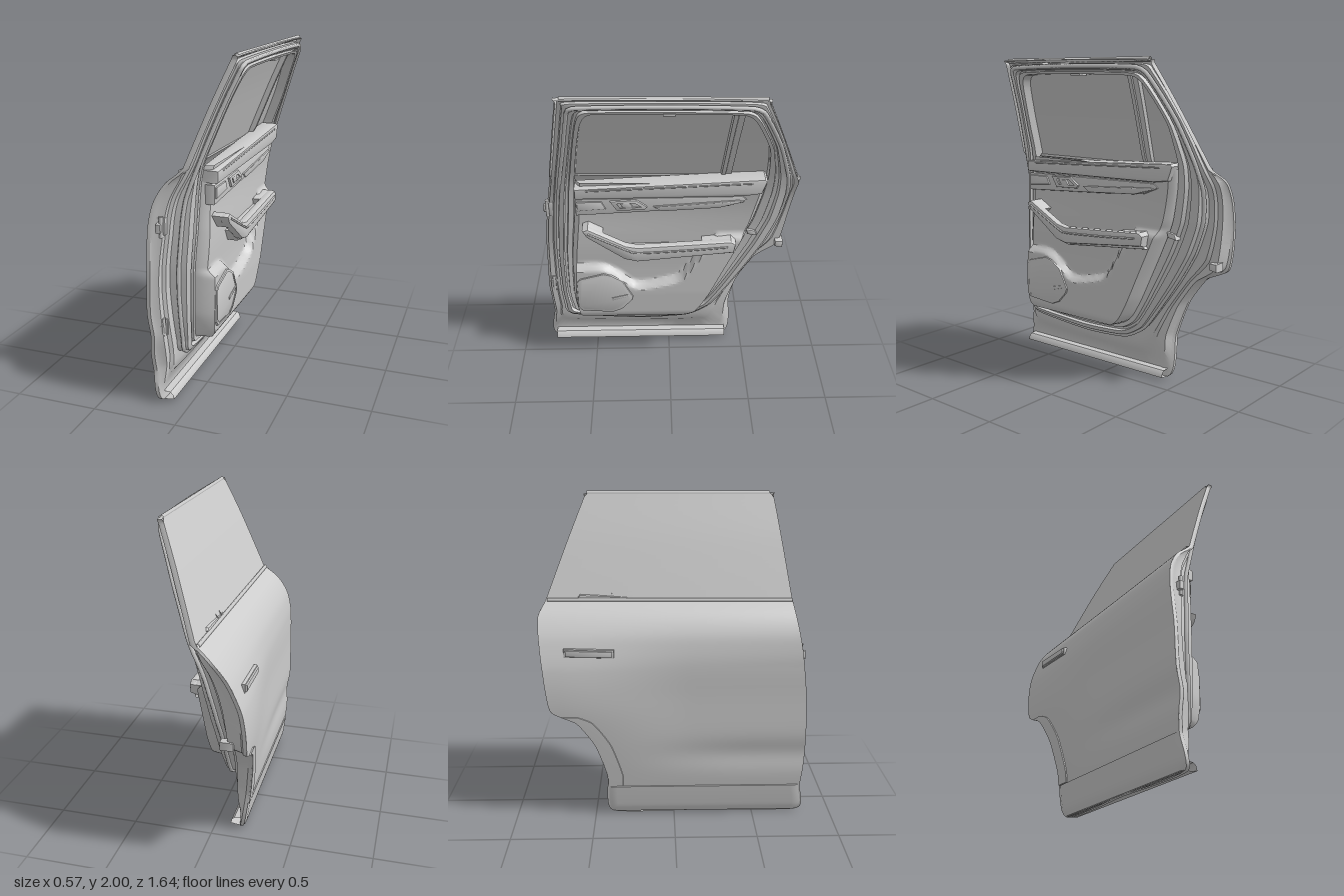
import * as THREE from 'three';
import { toCreasedNormals } from 'three/addons/utils/BufferGeometryUtils.js';

const MAT = new THREE.MeshStandardMaterial({ color: 0xcccccc, side: THREE.DoubleSide });
const { lerp, clamp, smoothstep } = THREE.MathUtils;
const step = (a, b, v) => (a < b ? smoothstep(v, a, b) : 1 - smoothstep(v, b, a));
const bell = (v, c, w) => Math.exp(-(((v - c) / w) ** 2));

// Smooth (or linear) lookup in a list of [y, value]
function table(pts, smooth = true) {
  const slope = (i) => {
    const a = pts[Math.max(i - 1, 0)], b = pts[Math.min(i + 1, pts.length - 1)];
    return smooth ? (b[1] - a[1]) / (b[0] - a[0]) : 0;
  };
  return (y) => {
    y = clamp(y, pts[0][0], pts.at(-1)[0]);
    let i = 0;
    while (i < pts.length - 2 && y > pts[i + 1][0]) i++;
    const [y0, v0] = pts[i], [y1, v1] = pts[i + 1], h = y1 - y0, t = (y - y0) / h;
    if (!smooth) return lerp(v0, v1, t);
    const t2 = t * t, t3 = t2 * t;
    return v0 * (2 * t3 - 3 * t2 + 1) + v1 * (3 * t2 - 2 * t3) + slope(i) * h * (t3 - 2 * t2 + t) + slope(i + 1) * h * (t3 - t2);
  };
}

// Outline loops as [z, y]; entries with the same index correspond
const OUTER = [[.79, .01], [.8, .2], [.82, .42], [.81, .8], [.775, 1.1], [.735, 1.32], [.68, 1.65], [.625, 1.96], [.6, 1.985], [0, 1.99], [-.52, 1.98],
  [-.55, 1.95], [-.66, 1.68], [-.78, 1.37], [-.82, 1.28], [-.79, 1.0], [-.75, .74], [-.6, .66], [-.49, .5], [-.42, .28], [-.39, .01], [.2, .01]];
const SEAL = [[.66, .27], [.7, .36], [.715, .5], [.72, .8], [.7, 1.1], [.67, 1.32], [.61, 1.65], [.57, 1.88], [.52, 1.94], [0, 1.95], [-.45, 1.94],
  [-.53, 1.88], [-.64, 1.65], [-.715, 1.4], [-.73, 1.25], [-.7, 1.05], [-.62, .85], [-.5, .65], [-.37, .46], [-.27, .33], [-.12, .25], [.2, .23]];
const INNER = [[.57, .34], [.61, .38], [.63, .5], [.62, .8], [.59, 1.1], [.575, 1.32], [.53, 1.65], [.49, 1.83], [.42, 1.895], [0, 1.9], [-.4, 1.89],
  [-.48, 1.83], [-.575, 1.62], [-.59, 1.4], [-.57, 1.25], [-.52, 1.05], [-.44, .87], [-.36, .7], [-.28, .53], [-.2, .4], [-.1, .34], [.2, .33]];
const SUB = 8;
function loop(keys) {
  const c = new THREE.CatmullRomCurve3(keys.map(([z, y]) => new THREE.Vector3(0, y, z)), true, 'catmullrom', 0.3);
  const n = keys.length * SUB;
  return Array.from({ length: n }, (_, i) => c.getPoint(i / n));
}
const [outer, seal, inner] = [OUTER, SEAL, INNER].map(loop);
const edge = (pts, a, b) => table(pts.slice(a * SUB, b * SUB + 1).map((p) => [p.y, p.z]).sort((p, q) => p[0] - q[0]), false);
const frontZ = edge(outer, 0, 8), rearZ = edge(outer, 10, 20);
const trimFront = edge(inner, 0, 6), trimRear = edge(inner, 12, 20);

// Depth of the outer skin, flange, seal step and trim
const BELT = 1.37;
const lean = (z, y) => -0.025 * z * clamp((y - 1) / 0.35, 0, 1);
const panelX = table([[0, -.175], [.06, -.195], [.3, -.225], [.5, -.237], [.8, -.235], [1, -.235], [1.1, -.222], [1.2, -.192], [1.3, -.125], [BELT, -.035]]);
const glassX = table([[BELT, -.03], [1.55, .04], [1.75, .12], [1.99, .225]]);
const outX = (z, y) => lean(z, y) + (y > BELT ? glassX(y)
  : panelX(y) - 0.05 * step(.1, -.7, z) * bell(y, .8, .3) + 0.018 * bell(y, .42, .09) * step(-.35, .5, z));
const flange = table([[0, -.14], [.25, -.11], [.7, -.14], [1, -.12], [1.2, -.08], [BELT, .01], [1.55, .075], [1.75, .155], [1.99, .262]]);
const ledge = table([[.2, -.04], [.5, -.025], [.8, -.02], [1.1, 0], [BELT, .035], [1.55, .1], [1.75, .18], [1.99, .29]]);
const flangeX = (z, y) => flange(y) + lean(z, y), ledgeX = (z, y) => ledge(y) + lean(z, y);

// Grid of points joined into a smooth surface with kept creases
function surface(rows, closed = false) {
  const n = rows[0].length, idx = [];
  for (let r = 0; r < rows.length - 1; r++)
    for (let c = 0; c < (closed ? n : n - 1); c++) {
      const a = r * n + c, b = r * n + ((c + 1) % n);
      idx.push(a, b, a + n, b, b + n, a + n);
    }
  const g = new THREE.BufferGeometry();
  g.setAttribute('position', new THREE.Float32BufferAttribute(rows.flat(2), 3));
  g.setIndex(idx);
  g.computeVertexNormals();
  return toCreasedNormals(g, 0.6);
}
const span = (a, b, n) => Array.from({ length: n + 1 }, (_, i) => lerp(a, b, i / n));
// Sheet between two edges z0(y), z1(y) with depth x(z, y, t)
const sheet = (ys, ts, z0, z1, x) => surface(ys.map((y) => ts.map((t) => {
  const z = lerp(z0(y), z1(y), t);
  return [x(z, y, t), y, z];
})));

// Flat plate from a [z, y] outline, extruded from x0 to x1 with a soft rim
function plate(pts, x0, x1, bevel = 0.008, hole) {
  const v = (p) => p.map(([z, y]) => new THREE.Vector2(-z, y));
  const s = new THREE.Shape(v(pts));
  if (hole) s.holes.push(new THREE.Path(v(hole)));
  const g = new THREE.ExtrudeGeometry(s, { depth: x1 - x0 - bevel, bevelThickness: bevel, bevelSize: bevel, bevelOffset: -bevel, bevelSegments: 2 });
  return toCreasedNormals(g.rotateY(Math.PI / 2).translate(x0, 0, 0), 0.6);
}
const tube = (pts, r, closed = false) => new THREE.TubeGeometry(
  new THREE.CatmullRomCurve3(pts.map((p) => new THREE.Vector3(...p)), closed, 'catmullrom', 0.3), pts.length * 4, r, 6, closed);

export function createModel() {
  const door = new THREE.Group();
  door.name = 'carDoor';
  const add = (name, geo) => {
    const m = new THREE.Mesh(geo, MAT);
    m.name = name;
    door.add(m);
    return m;
  };
  const cols = span(0, 1, 40);

  // Outer skin, window and cladding
  add('outerPanel', sheet(span(.01, BELT, 70), cols, frontZ, rearZ, outX));
  add('windowGlass', sheet(span(BELT + .001, 1.985, 24), cols, frontZ, rearZ, outX));
  const proud = (lo, hi) => (z, y, t) => outX(z, y) - (t > 0 && t < 1 && y > lo && y < hi ? 0.007 : -0.004);
  add('sillCladding', sheet([.01, ...span(.012, .2, 12), .203], cols, frontZ, rearZ, proud(.011, .201)));
  add('archCladding', sheet([.203, ...span(.205, .70, 40), .703], [0, .03, .25, .5, .75, .97, 1],
    (y) => rearZ(y) + .1, rearZ, proud(.204, .701)));
  add('beltMoulding', tube(span(.725, -.77, 8).map((z) => [outX(z, BELT) - .002, BELT, z]), .012));
  add('topMoulding', tube(span(.6, -.53, 6).map((z) => [outX(z, 1.98) + .012, 1.982, z]), .014));

  // Exterior pull handle
  const hx = outX(-.5, 1.09);
  add('handleRecess', plate([[-.36, 1.065], [-.36, 1.115], [-.66, 1.125], [-.66, 1.07]], hx - .008, hx + .01, .004));
  add('outerHandle', plate([[-.37, 1.073], [-.37, 1.107], [-.65, 1.117], [-.65, 1.078]], hx - .018, hx, .005));

  // Door shell: nested rings from the skin edge in to the trim edge
  const ring = (a, b, t, x) => a.map((p, i) => {
    const z = lerp(p.z, b[i].z, t), y = lerp(p.y, b[i].y, t);
    return [x(z, y), y, z];
  });
  const mix = (k, d = 0) => (z, y) => lerp(flangeX(z, y), ledgeX(z, y), k) + d;
  add('doorShell', surface([
    ring(outer, seal, 0, outX),
    ring(outer, seal, 0, (z, y) => outX(z, y) + .022),
    ring(outer, seal, .1, (z, y) => outX(z, y) + .034),
    ring(outer, seal, .22, mix(0, -.03)),
    ring(outer, seal, .55, mix(0, -.025)),
    ring(outer, seal, .66, mix(0, -.005)),
    ring(outer, seal, .85, mix(0, 0)),
    ring(outer, seal, 1, mix(.05, 0)),
    ring(seal, inner, .12, mix(.85, 0)),
    ring(seal, inner, .4, mix(1, 0)),
    ring(seal, inner, .46, mix(1, -.025)),
    ring(seal, inner, .62, mix(1, -.025)),
    ring(seal, inner, .68, mix(1, .004)),
    ring(seal, inner, .98, mix(1, .002)),
    ring(seal, inner, 1, (z, y) => (y > BELT ? outX(z, y) : ledgeX(z, y) - .02)),
  ], true));
  add('weatherSeal', tube(ring(seal, inner, .03, mix(.4, .01)).filter((_, i) => i % 4 === 0), .013, true));
  add('sillSeal', sheet([.01, .02, .045, .06, .065], cols, () => .785, () => -.39,
    (z, y) => (y < .015 || y > .062 ? -.17 : y < .05 ? -.09 - y * .3 : -.12)));

  // Window divider bar
  add('windowDivider', sheet(span(1.36, 1.9, 10), [0, .05, .4, .45, .95, 1], (y) => lerp(-.31, -.35, (y - 1.38) / .5),
    (y) => lerp(-.375, -.42, (y - 1.38) / .5), (z, y, t) => outX(z, y) + (t === 0 || t === 1 ? 0 : t < .42 ? .035 : .026)));

  // Inner trim with a raised lower pocket under a swooping line
  const swoop = table([[-.3, .97], [-.2, .85], [-.08, .67], [0, .63], [.22, .6], [.32, .68], [.42, .74], [.62, .74]]);
  const trimY = table([[.33, -.03], [.345, .06], [.38, .083], [.55, .09], [1, .09], [1.38, .09]], false);
  const upperX = table([[.33, .04], [.7, .04], [.9, .05], [1.15, .055], [1.38, .08]]);
  const trimX = (z, y, t = .5) => {
    const body = Math.min(trimY(y), lerp(.09, upperX(y), step(-.02, .035, y - swoop(z))));
    const side = clamp(Math.min(t, 1 - t) / .03, 0, 1);
    return lerp(ledgeX(z, y) - .02, body, Math.sqrt(side)) + lean(z, y);
  };
  add('innerTrim', sheet([.33, ...span(.345, 1.37, 70)], [0, .003, .01, .02, ...span(.03, .97, 46), .98, .99, .997, 1], trimFront, trimRear, trimX));

  // Belt ledge and decorative insert
  add('trimLedge', plate([[.57, 1.345], [-.57, 1.4], [-.585, 1.385], [-.555, 1.3], [-.45, 1.285], [.57, 1.275]], -.01, .105, .014));
  add('ledgeGroove', tube([[.104, 1.335, .5], [.104, 1.355, 0], [.104, 1.375, -.5]], .005));
  add('trimInsert', plate([[.57, 1.265], [-.44, 1.275], [-.47, 1.25], [-.36, 1.205], [-.1, 1.185], [.57, 1.15]], .03, .082, .008));
  add('insertBlade', plate([[.1, 1.215], [.05, 1.18], [-.3, 1.2], [-.45, 1.24], [-.42, 1.25]], .07, .092, .006));
  add('switchPanel', plate([[.56, 1.25], [.41, 1.25], [.385, 1.2], [.56, 1.185]], .07, .092, .006));
  add('releaseBezel', plate([[.36, 1.255], [.2, 1.262], [.135, 1.215], [.15, 1.195], [.32, 1.19]], .07, .096, .005,
    [[.325, 1.245], [.21, 1.248], [.16, 1.212], [.3, 1.203]]));
  add('releaseLever', plate([[.3, 1.24], [.24, 1.242], [.22, 1.21], [.28, 1.207]], .07, .094, .004));

  // Armrest: floor block, outer grip strap and end mounts
  add('armrestFloor', plate([[.32, .92], [-.37, .935], [-.41, .885], [.2, .83], [.27, .845]], .02, .12, .012));
  add('gripStrap', plate([[.535, 1.075], [.5, 1.09], [.27, .965], [.2, .95], [-.38, .985], [-.41, .965], [-.4, .905], [.2, .845], [.28, .865], [.51, 1.03]],
    .108, .15, .014));
  add('gripInlay', tube([[.15, 1.06, .5], [.152, .94, .27], [.152, .915, .2], [.152, .93, -.1], [.152, .95, -.36]], .006));
  add('gripFrontMount', plate([[.535, 1.075], [.5, 1.09], [.41, 1.04], [.46, .99]], .02, .13, .01));
  add('gripRearMount', plate([[-.2, .97], [-.38, .985], [-.41, .965], [-.4, .9], [-.22, .91]], .02, .13, .01));

  // Speaker cover
  const speaker = [[.595, .65], [.57, .675], [.42, .715], [.37, .7], [.3, .655], [.235, .53], [.245, .5], [.31, .43], [.37, .405], [.57, .42], [.595, .45]];
  const inset = speaker.map(([z, y]) => [lerp(z, .43, .07), lerp(y, .56, .07)]);
  add('speakerRim', plate(speaker, .06, .1, .007, inset));
  add('speakerGrille', plate(inset, .06, .094, .003));
  add('speakerBadge', plate([[.38, .52], [.26, .55], [.25, .535], [.37, .5]], .08, .098, .003));

  // Hinges, latch and small fittings
  for (const y of [1.06, .46]) {
    add('hingeLeaf', plate([[.7, y - .05], [.7, y + .05], [.765, y + .05], [.765, y - .05]], -.19, -.135, .006));
    add('hingeArm', plate([[.74, y - .03], [.74, y + .03], [.8, y + .02], [.8, y - .03]], -.175, -.15, .005));
    const pin = add('hingePin', new THREE.CylinderGeometry(.012, .012, .12, 12));
    pin.position.set(-.155, y, .775);
  }
  add('latch', plate([[-.485, .985], [-.54, .975], [-.555, .94], [-.495, .95]], -.06, .01, .006));
  add('rearLatchPlate', plate([[-.7, .76], [-.7, .8], [-.75, .8], [-.75, .75]], -.2, -.125, .006));
  add('topClip', plate([[.04, 1.905], [.04, 1.893], [-.03, 1.893], [-.03, 1.905]], .2, .262, .003));
  return door;
}
